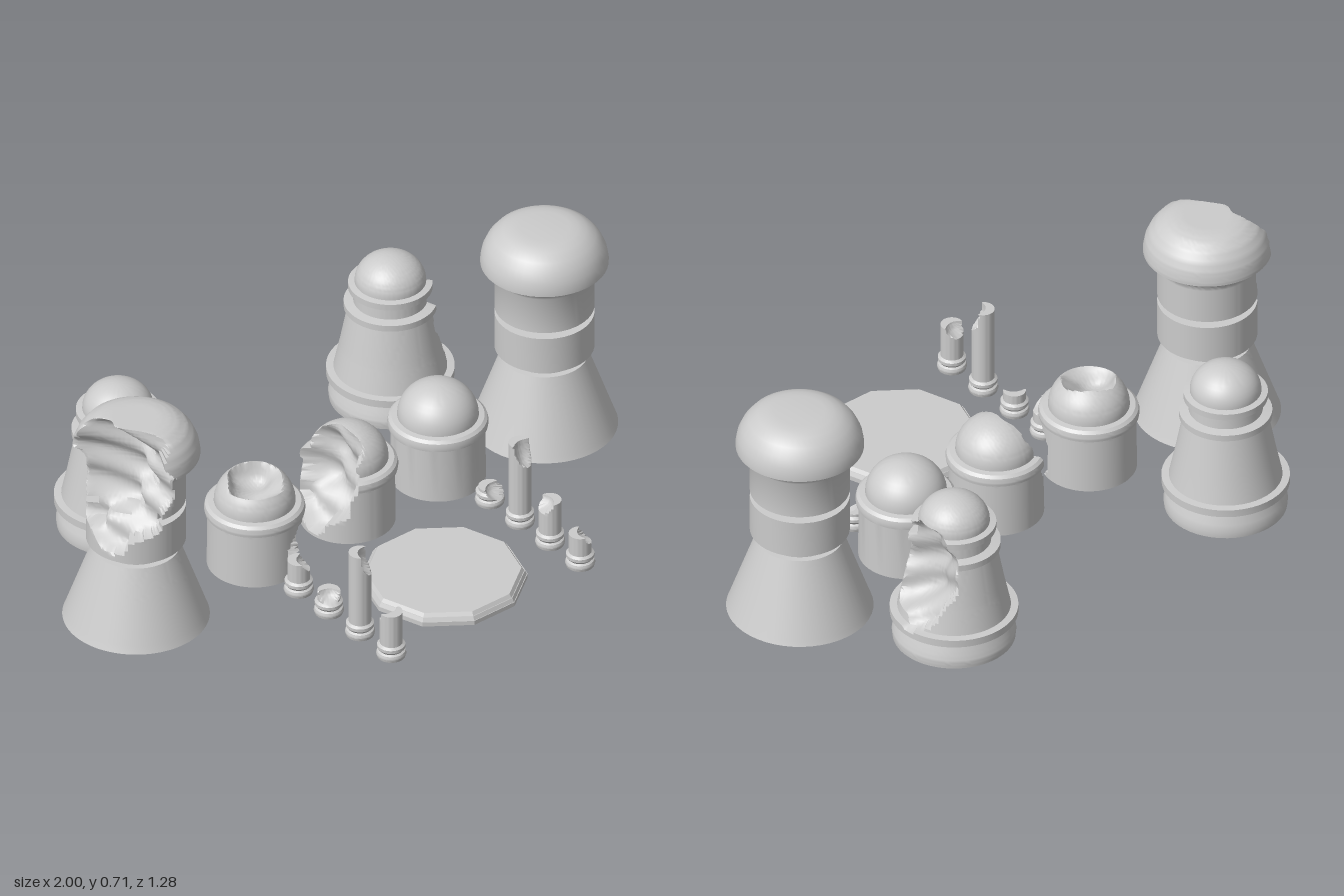
import * as THREE from 'three';
import { toCreasedNormals } from 'three/addons/utils/BufferGeometryUtils.js';

const material = new THREE.MeshStandardMaterial({ color: 0xcccccc, side: THREE.DoubleSide });
const flat = new THREE.MeshStandardMaterial({ color: 0xcccccc, flatShading: true });

// Profiles as [radius, height], bottom to top
const dome = (r, y, h, n = 10) => Array.from({ length: n + 1 }, (_, i) => {
  const a = (i / n) * Math.PI / 2;
  return [r * Math.cos(a), y + h * Math.sin(a)];
});

const TOWER = [
  [0, 0], [0.15, 0], [0.218, 0.01], [0.212, 0.026], [0.13, 0.258], [0.11, 0.258], [0.11, 0.287],
  [0.148, 0.287], [0.148, 0.408], [0.11, 0.408], [0.11, 0.43], [0.148, 0.43], [0.148, 0.55],
  [0.155, 0.564], [0.168, 0.576], [0.19, 0.588], [0.19, 0.6], [0.185, 0.628], [0.172, 0.657],
  [0.152, 0.682], [0.125, 0.7], [0.1, 0.708], [0.075, 0.711], [0, 0.711],
];
const TURRET = [
  [0, 0.008], [0.182, 0.008], [0.184, 0.028], [0.178, 0.05], [0.165, 0.088], [0.19, 0.09], [0.19, 0.114],
  [0.168, 0.116], [0.15, 0.2], [0.126, 0.325], [0.138, 0.328], [0.138, 0.348], [0.11, 0.352],
  [0.108, 0.39], [0.125, 0.395], [0.125, 0.415], [0.106, 0.418], ...dome(0.106, 0.42, 0.088),
];
const HUT = [
  [0, 0.008], [0.142, 0.008], [0.14, 0.185], [0.148, 0.19], [0.15, 0.203], [0.147, 0.216],
  [0.138, 0.224], [0.121, 0.226], ...dome(0.121, 0.228, 0.108),
];
const columnProfile = (h) => [
  [0, 0.008], [0.042, 0.008], [0.045, 0.018], [0.042, 0.028], [0.036, 0.032], [0.042, 0.04],
  [0.042, 0.05], [0.034, 0.056], [0.034, h], [0, h],
];

// Subdivides a profile so that broken areas have enough vertices
function refine(profile, step) {
  const out = [];
  profile.forEach((p, i) => {
    if (i) {
      const q = profile[i - 1];
      const n = Math.max(1, Math.ceil(Math.hypot(p[0] - q[0], p[1] - q[1]) / step));
      for (let k = 1; k <= n; k++) {
        const t = k / n;
        out.push(new THREE.Vector2(Math.max(0, q[0] + (p[0] - q[0]) * t), q[1] + (p[1] - q[1]) * t));
      }
    } else out.push(new THREE.Vector2(...p));
  });
  return out;
}

// Pushes vertices inside a rough ellipsoid towards a target until they leave it.
// A null in the target keeps that coordinate.
function bite(geometry, { c, r, to, rough = 0.05 }) {
  const pos = geometry.attributes.position;
  const inside = (p) => {
    const d = Math.hypot((p.x - c[0]) / r[0], (p.y - c[1]) / r[1], (p.z - c[2]) / r[2]);
    return d < 1 + rough * (Math.sin(p.y * 62 + p.z * 25) + Math.sin(p.z * 48 - p.x * 37));
  };
  const p = new THREE.Vector3(), q = new THREE.Vector3(), target = new THREE.Vector3();
  for (let i = 0; i < pos.count; i++) {
    p.fromBufferAttribute(pos, i);
    if (!inside(p)) continue;
    target.set(to[0] ?? p.x, to[1] ?? p.y, to[2] ?? p.z);
    let lo = 0, hi = 1;
    for (let k = 0; k < 16; k++) {
      const mid = (lo + hi) / 2;
      if (inside(q.lerpVectors(p, target, mid))) lo = mid; else hi = mid;
    }
    q.lerpVectors(p, target, hi);
    pos.setXYZ(i, q.x, q.y, q.z);
  }
}

// Turned part standing at (x, z), with optional broken areas
function turned(name, profile, x, z, { bites = [], segments = 48, step = 0.009 } = {}) {
  const points = bites.length ? refine(profile, step) : profile.map((p) => new THREE.Vector2(Math.max(0, p[0]), p[1]));
  const geometry = new THREE.LatheGeometry(points, segments);
  geometry.translate(x, 0, z);
  bites.forEach((b) => bite(geometry, b));
  const mesh = new THREE.Mesh(toCreasedNormals(geometry, 0.6), material);
  mesh.name = name;
  return mesh;
}

export function createModel() {
  const model = new THREE.Group();
  model.name = 'ruinedSettlement';

  // Tall capped towers, the right one broken open
  model.add(turned('leftTower', TOWER, 0.78, -0.055));
  model.add(turned('rightBrokenTower', TOWER, -0.78, -0.055, {
    segments: 96,
    bites: [{ c: [-1.0, 0.56, 0.03], r: [0.24, 0.25, 0.24], to: [-0.66, null, -0.12] }],
  }));

  // Domed turrets at the back, the left one scooped out on its outer side
  model.add(turned('rightTurret', TURRET, -0.52, -0.455));
  model.add(turned('leftBrokenTurret', TURRET, 0.52, -0.455, {
    segments: 96,
    bites: [{ c: [0.7, 0.3, -0.45], r: [0.145, 0.175, 0.15], to: [0.45, null, -0.455] }],
  }));

  // Row of domed huts
  model.add(turned('leftHut', HUT, 0.365, -0.045));
  model.add(turned('middleBrokenHut', HUT, 0.02, -0.045, {
    segments: 80,
    bites: [{ c: [-0.13, 0.24, -0.035], r: [0.155, 0.21, 0.14], to: [0.13, null, -0.05] }],
  }));
  model.add(turned('rightBrokenHut', HUT, -0.335, -0.045, {
    segments: 80,
    bites: [
      { c: [-0.35, 0.37, -0.03], r: [0.105, 0.12, 0.1], to: [null, 0.1, null] },
      { c: [-0.235, 0.08, 0.06], r: [0.09, 0.085, 0.09], to: [-0.4, null, -0.1] },
    ],
  }));

  // Two rows of broken columns: [x, z, height, direction of the break]
  const columns = [
    [-0.335, 0.16, 0.12, 0.6], [-0.335, 0.3, 0.085, 2.2], [-0.335, 0.445, 0.3, 0.9], [-0.335, 0.59, 0.165, 4.6],
    [0.395, 0.16, 0.065, 1.2], [0.395, 0.3, 0.295, 1.4], [0.395, 0.44, 0.165, 3.4], [0.395, 0.58, 0.12, 0.4],
  ];
  const colonnade = new THREE.Group();
  colonnade.name = 'columns';
  columns.forEach(([x, z, h, a], i) => {
    const dx = Math.cos(a), dz = Math.sin(a);
    colonnade.add(turned(`column${i + 1}`, columnProfile(h), x, z, {
      segments: 32,
      step: 0.007,
      bites: [{
        c: [x + dx * 0.035, h, z + dz * 0.035],
        r: [0.042, h > 0.2 ? 0.07 : 0.03, 0.042],
        to: [x - dx * 0.03, null, z - dz * 0.03],
        rough: 0.03,
      }],
    }));
  });
  model.add(colonnade);

  // Ten-sided stepped platform
  const platform = new THREE.Group();
  platform.name = 'platform';
  [[0.248, 0.248, 0.008, 0.022], [0.24, 0.246, 0.022, 0.034], [0.23, 0.238, 0.034, 0.045]].forEach(([top, bottom, y0, y1], i) => {
    const step = new THREE.Mesh(new THREE.CylinderGeometry(top, bottom, y1 - y0, 10, 1, false, Math.PI / 10), flat);
    step.name = `platformStep${i + 1}`;
    step.position.set(0.03, (y0 + y1) / 2, 0.39);
    platform.add(step);
  });
  model.add(platform);

  return model;
}
